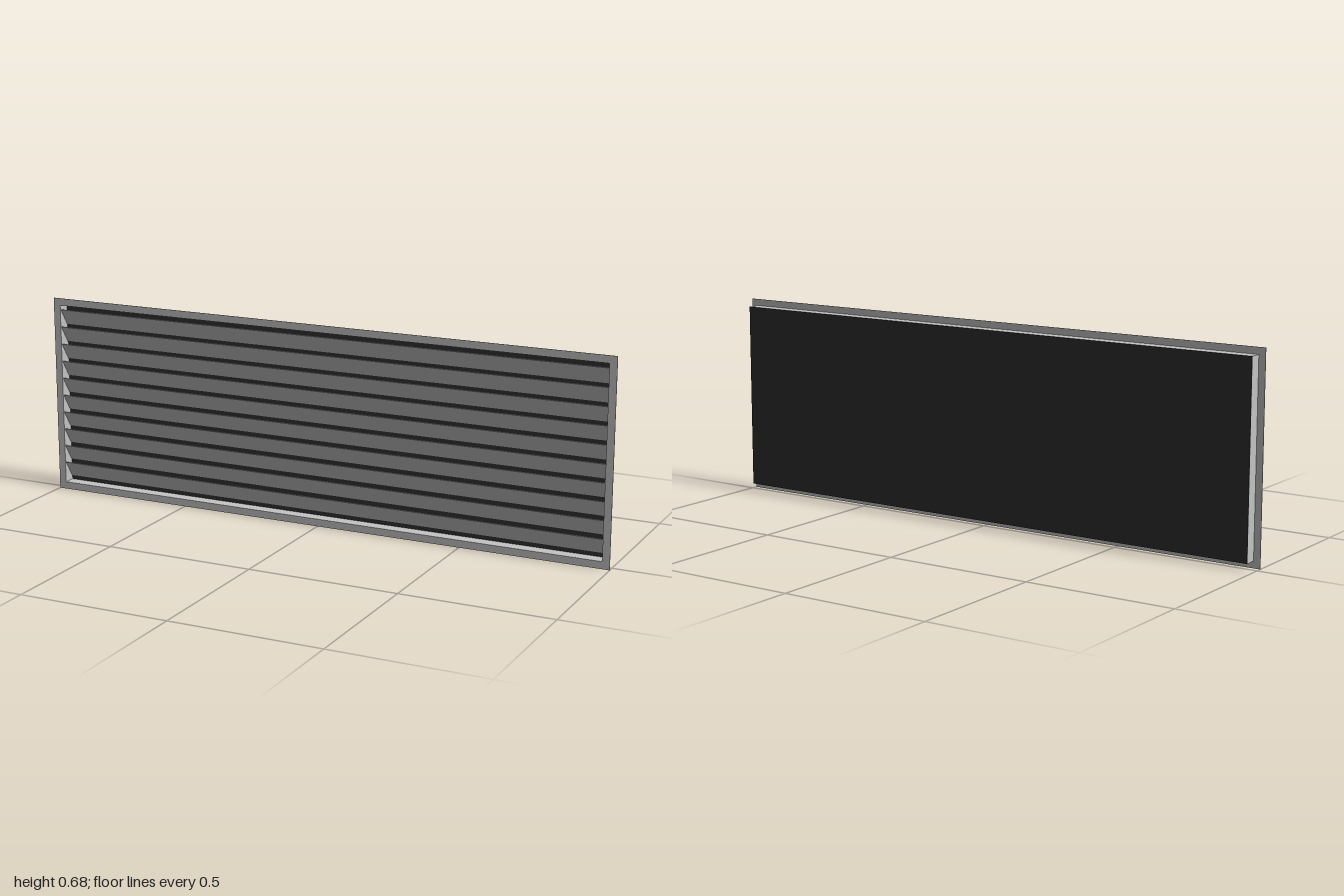
import * as THREE from 'three';

export function createModel() {
  const group = new THREE.Group();
  const metal = new THREE.MeshStandardMaterial({ color: 0xc3c5c3 });
  metal.name = 'light grey metal';
  const dark = new THREE.MeshStandardMaterial({ color: 0x303030 });
  dark.name = 'dark backing';

  const H = 0.675, MID = H / 2, DEPTH = 0.022, SHEET = 0.002;
  const bodyW = 1.954, bodyH = 0.63;

  const add = (name, geometry, material, x = 0, y = 0, z = 0) => {
    const mesh = new THREE.Mesh(geometry, material);
    mesh.name = name;
    mesh.position.set(x, y, z);
    group.add(mesh);
    return mesh;
  };

  // Rectangular ring extruded towards +z
  const ring = (w, h, innerW, innerH, depth) => {
    const rect = (target, a, b) => target
      .moveTo(-a / 2, -b / 2).lineTo(a / 2, -b / 2)
      .lineTo(a / 2, b / 2).lineTo(-a / 2, b / 2).closePath();
    const shape = rect(new THREE.Shape(), w, h);
    shape.holes.push(rect(new THREE.Path(), innerW, innerH));
    return new THREE.ExtrudeGeometry(shape, { depth, bevelEnabled: false });
  };

  const innerW = bodyW - 2 * SHEET, innerH = bodyH - 2 * SHEET;

  // Flat front flange and the duct collar behind it
  add('frontFlange', ring(2, H, innerW, innerH, SHEET), metal, 0, MID, DEPTH - SHEET);
  add('collar', ring(bodyW, bodyH, innerW, innerH, 2 * DEPTH - 2 * SHEET), metal, 0, MID, -DEPTH + SHEET);

  // Dark sheet closing the back
  add('backPanel', new THREE.BoxGeometry(bodyW, bodyH, SHEET), dark, 0, MID, -DEPTH + SHEET / 2);

  // Louvre blades: upper edge forward, lower edge at the back
  const count = 10, pitch = 0.06, rise = 0.056, run = 0.036;
  const blade = new THREE.BoxGeometry(innerW, Math.hypot(rise, run), SHEET);
  for (let i = 0; i < count; i++) {
    const y = MID + (i - (count - 1) / 2) * pitch;
    add('louvreBlade' + (i + 1), blade, metal, 0, y, 0).rotation.x = Math.atan2(run, rise);
  }
  return group;
}
